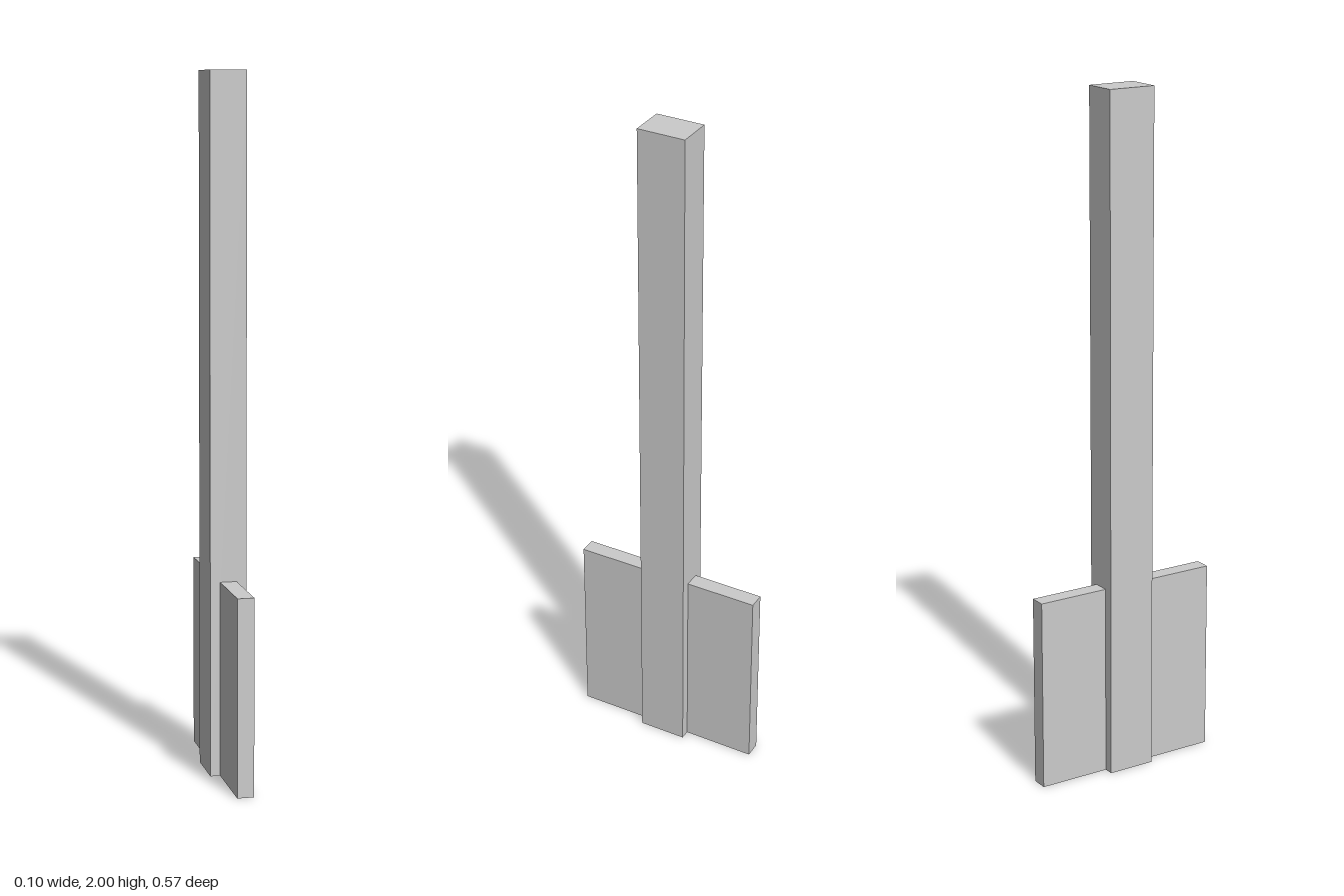
import * as THREE from 'three';

const POST = { width: 0.105, height: 2, depth: 0.142 };
const FIN = { width: 0.048, height: 0.567, reach: 0.284 };

export function createModel() {
  const group = new THREE.Group();
  const material = new THREE.MeshStandardMaterial({ color: 0xcccccc, flatShading: true });

  // Box standing on the ground
  const addBox = (name, width, height, depth, z) => {
    const mesh = new THREE.Mesh(new THREE.BoxGeometry(width, height, depth), material);
    mesh.name = name;
    mesh.position.set(0, height / 2, z);
    group.add(mesh);
  };

  // Tall central post
  addBox('post', POST.width, POST.height, POST.depth, 0);

  // Thin fins on the front and back of the post
  const finDepth = FIN.reach - POST.depth / 2;
  for (const [name, side] of [['frontFin', 1], ['backFin', -1]]) {
    addBox(name, FIN.width, FIN.height, finDepth, side * (POST.depth + finDepth * 1) / 2);
  }

  return group;
}
